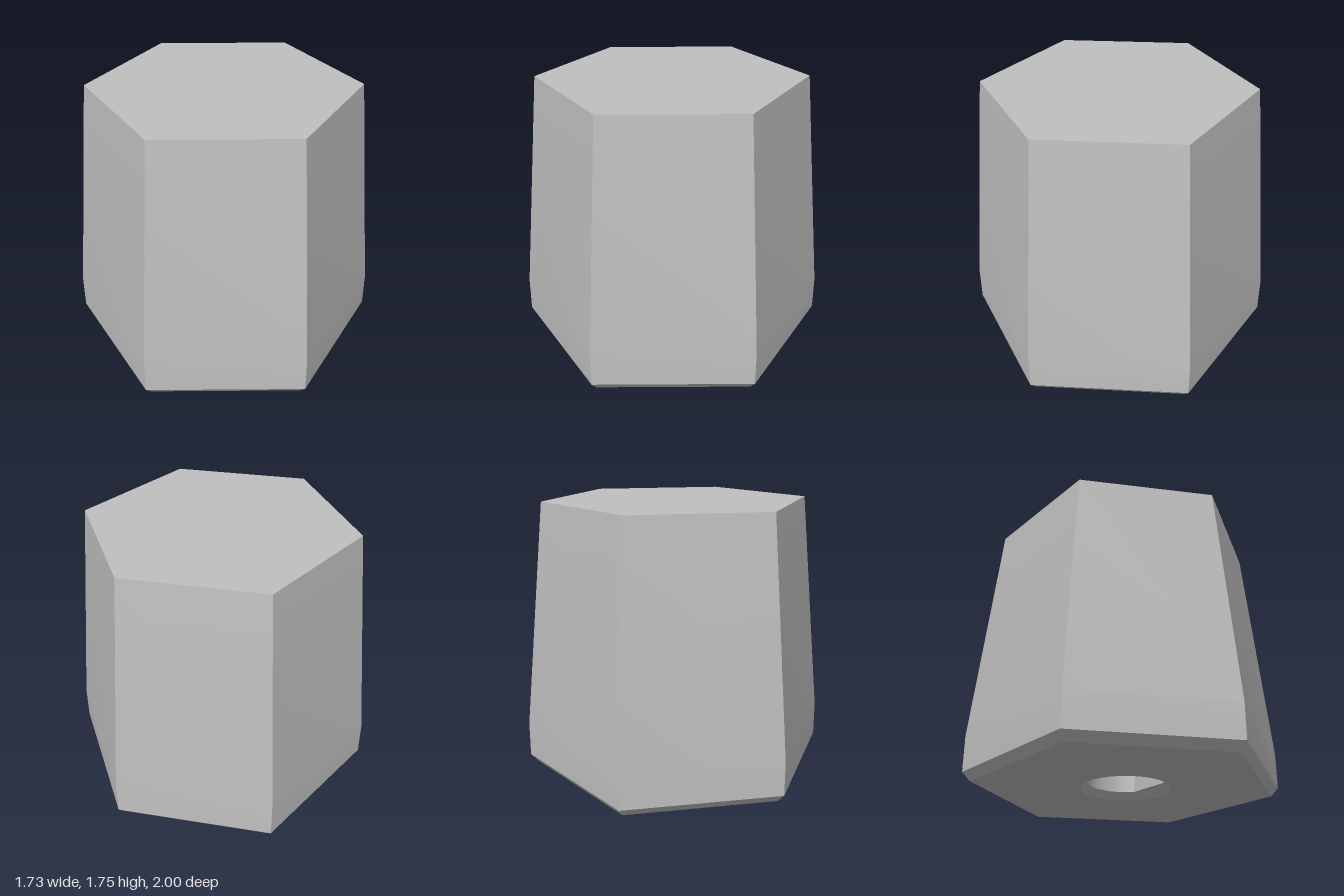
import * as THREE from 'three';
import { toCreasedNormals } from 'three/addons/utils/BufferGeometryUtils.js';

const BORE = 0.238, MOUTH = 0.283, CHAMFER = 0.045, FLAT = 0.195, ROOF = 1.2;

export function createModel() {
  const group = new THREE.Group();
  group.name = 'hexagonalKnob';
  const grey = new THREE.MeshStandardMaterial({ color: 0xc0c0c0 });
  grey.name = 'grey plastic';

  const add = (name, geometry, y = 0) => {
    const mesh = new THREE.Mesh(toCreasedNormals(geometry, 0.45), grey);
    mesh.name = name;
    mesh.position.y = y;
    group.add(mesh);
  };
  const lathe = (points, sides) =>
    new THREE.LatheGeometry(points.map(([r, y]) => new THREE.Vector2(r, y)), sides);

  // Six-sided grip: bottom chamfer, short straight skirt, taper, flat top
  add('gripBody', lathe([[0.95, 0], [1, 0.055], [1, 0.28], [0.853, 1.745], [0, 1.745]], 6));

  // Underside with the round mouth of the shaft hole
  const hexagon = new THREE.Shape();
  for (let i = 0; i < 6; i++) {
    const a = i * Math.PI / 3, x = 0.95 * Math.sin(a), z = 0.95 * Math.cos(a);
    if (i) hexagon.lineTo(x, z); else hexagon.moveTo(x, z);
  }
  hexagon.closePath();
  hexagon.holes.push(new THREE.Path().absarc(0, 0, MOUTH, 0, Math.PI * 2));
  add('underside', new THREE.ShapeGeometry(hexagon, 48).rotateX(Math.PI / 2));

  // Countersink leading into the hole
  add('holeChamfer', lathe([[BORE, CHAMFER], [MOUTH, 0]], 48));

  // D-shaped socket, flat on the +x side, closed by a roof
  const sleeve = new THREE.Shape().absarc(0, 0, BORE + 0.012, 0, Math.PI * 2);
  const half = Math.acos(FLAT / BORE);
  const dHole = new THREE.Path().absarc(0, 0, BORE, half, Math.PI * 2 - half);
  dHole.closePath();
  sleeve.holes.push(dHole);
  add('shaftSocket', new THREE.ExtrudeGeometry(sleeve, {
    depth: ROOF - CHAMFER, bevelEnabled: false, curveSegments: 48,
  }).rotateX(Math.PI / 2), ROOF);
  add('socketRoof', new THREE.CircleGeometry(BORE + 0.012, 48).rotateX(Math.PI / 2), ROOF);

  return group;
}
